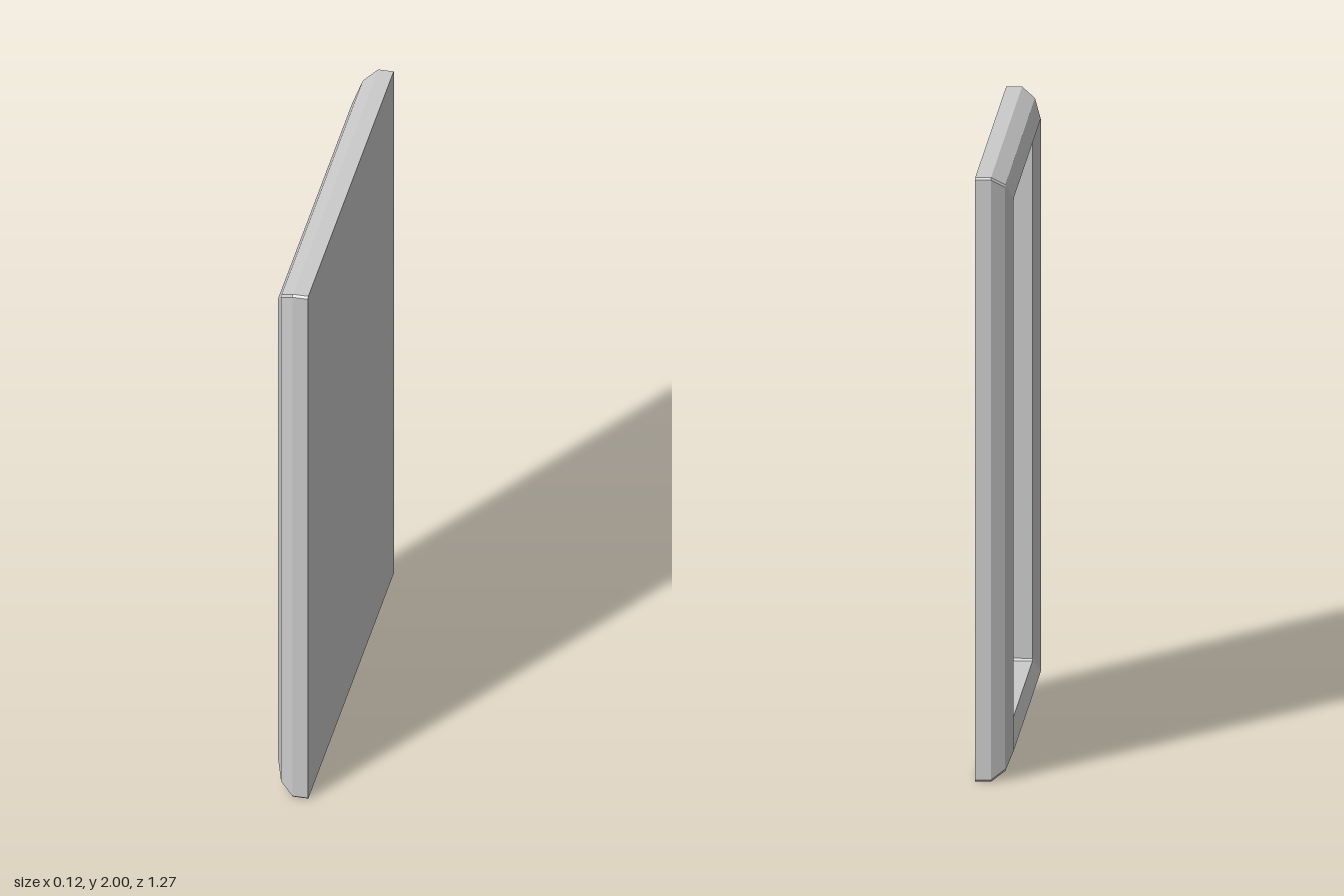
import * as THREE from 'three';

const HALF_DEPTH = 0.637; // half width along z
const HALF_HEIGHT = 1;
const CHAMFER = 0.007; // tiny cut on the frame corners

// Moulding cross-section as [x, inset from the outer edge], back to front and round again
const PROFILE = [
  [0.058, 0], [0.007, 0], [-0.037, 0.03], [-0.06, 0.085],
  [-0.037, 0.13], [0.058, 0.13],
];

// One rectangular loop with clipped corners, counter-clockwise seen from +x
function ring([x, inset]) {
  const w = HALF_DEPTH - inset, h = HALF_HEIGHT - inset, c = CHAMFER;
  return [
    [w, -h + c], [w, h - c], [w - c, h], [-w + c, h],
    [-w, h - c], [-w, -h + c], [-w + c, -h], [w - c, -h],
  ].map(([z, y]) => new THREE.Vector3(x, y + HALF_HEIGHT, z));
}

// Sweep the moulding round the rectangle
function frameGeometry() {
  const rings = PROFILE.map(ring);
  const points = [];
  rings.forEach((r, j) => {
    const next = rings[(j + 1) % rings.length];
    for (let k = 0; k < r.length; k++) {
      const m = (k + 1) % r.length;
      points.push(r[k], r[m], next[m], r[k], next[m], next[k]);
    }
  });
  const geometry = new THREE.BufferGeometry().setFromPoints(points);
  geometry.computeVertexNormals();
  return geometry;
}

export function createModel() {
  const group = new THREE.Group();
  group.name = 'pictureFrame';
  const material = new THREE.MeshStandardMaterial({ color: 0xcccccc, flatShading: true });

  // Bevelled moulding
  const frame = new THREE.Mesh(frameGeometry(), material);
  frame.name = 'frame';

  // Recessed panel, flush with the back of the moulding
  const inset = PROFILE[4][1];
  const panel = new THREE.Mesh(
    new THREE.BoxGeometry(0.028, 2 * (HALF_HEIGHT - inset), 2 * (HALF_DEPTH - inset)),
    material,
  );
  panel.name = 'panel';
  panel.position.set(0.044, HALF_HEIGHT, 0);

  group.add(frame, panel);
  return group;
}
